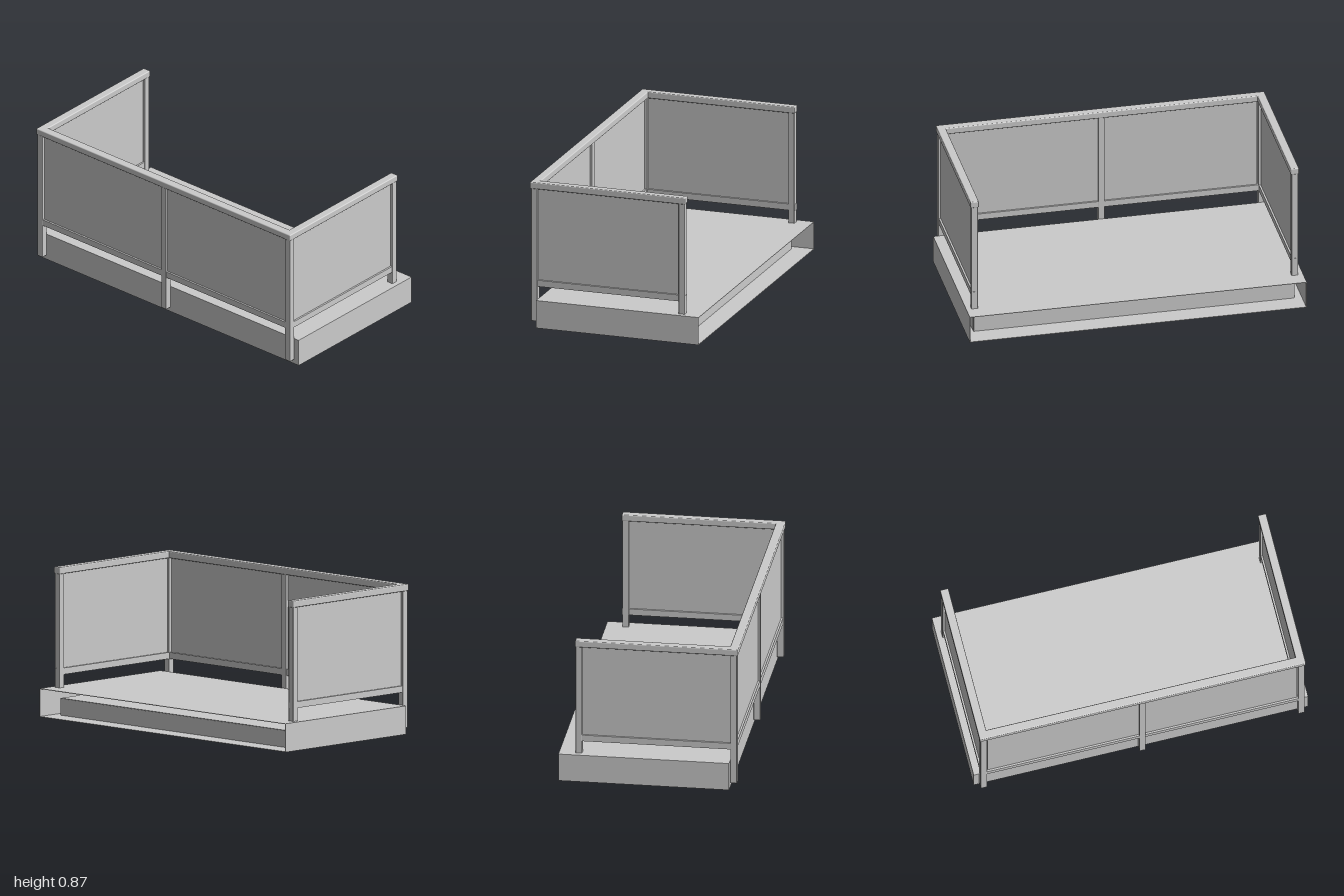
import * as THREE from 'three';
import { RoundedBoxGeometry } from 'three/addons/geometries/RoundedBoxGeometry.js';

export function createModel() {
  const model = new THREE.Group();
  const grey = new THREE.MeshStandardMaterial({ color: 0xcccccc });

  // Box given by its min and max on each axis, optionally with softened edges
  function box(name, [x0, x1], [y0, y1], [z0, z1], radius = 0, parent = model) {
    const size = [x1 - x0, y1 - y0, z1 - z0];
    const geometry = radius
      ? new RoundedBoxGeometry(...size, 2, radius)
      : new THREE.BoxGeometry(...size);
    const mesh = new THREE.Mesh(geometry, grey);
    mesh.name = name;
    mesh.position.set((x0 + x1) / 2, (y0 + y1) / 2, (z0 + z1) / 2);
    parent.add(mesh);
    return mesh;
  }

  // Platform: a sheet shell open at the back, with a recessed pocket underneath
  const platform = new THREE.Group();
  platform.name = 'platform';
  model.add(platform);
  const part = (name, x, y, z) => box(name, x, y, z, 0, platform);
  const t = 0.003; // sheet thickness
  const ceiling = 0.1;
  part('deck', [-1, 1], [0.167 - t, 0.167], [-0.525, 0.475]);
  part('frontSkirt', [-1, 1], [t, 0.167 - t], [0.475 - t, 0.475]);
  part('frontRim', [-1, 1], [0, t], [0.425, 0.475]);
  part('rearRim', [-1, 1], [0, t], [-0.525, -0.4]);
  part('pocketCeiling', [-0.95, 0.95], [ceiling, ceiling + t], [-0.4, 0.425]);
  part('pocketFrontWall', [-0.95, 0.95], [t, ceiling], [0.425, 0.425 + t]);
  part('pocketRearWall', [-0.95, 0.95], [t, ceiling], [-0.4 - t, -0.4]);
  for (const s of [-1, 1]) {
    const span = (a, b) => (s > 0 ? [a, b] : [-b, -a]);
    part('sideSkirt', span(1 - t, 1), [t, 0.167 - t], [-0.525, 0.475 - t]);
    part('sideRim', span(0.95, 1), [0, t], [-0.4, 0.425]);
    part('pocketSideWall', span(0.95, 0.95 + t), [t, ceiling], [-0.4, 0.425]);
    part('floorJoist', span(0.3, 0.363), [0.03, ceiling], [-0.4, 0.425]);
  }

  // Small wedge-shaped gusset inside the pocket
  const wedge = new THREE.Shape([
    new THREE.Vector2(-0.95, 0.005),
    new THREE.Vector2(-0.86, ceiling),
    new THREE.Vector2(-0.95, ceiling),
  ]);
  const gusset = new THREE.Mesh(
    new THREE.ExtrudeGeometry(wedge, { depth: 0.06, bevelEnabled: false }), grey);
  gusset.name = 'gusset';
  gusset.position.z = -0.05;
  platform.add(gusset);

  // Front posts hang down over the skirt; rear posts stand on the deck
  for (const x of [-0.95, 0, 0.95]) {
    box('frontPost', [x - 0.019, x + 0.019], [0.031, 0.84], [0.478, 0.517], 0.003);
  }
  for (const x of [-0.95, 0.95]) {
    box('rearPost', [x - 0.019, x + 0.019], [0.16, 0.84], [-0.429, -0.391], 0.003);
  }

  // U-shaped handrail
  box('frontHandrail', [-0.975, 0.975], [0.834, 0.874], [0.471, 0.523], 0.006);
  for (const x of [-0.95, 0.95]) {
    box('sideHandrail', [x - 0.025, x + 0.025], [0.834, 0.874], [-0.432, 0.521], 0.006);
  }

  // Infill panels and the bottom rails that carry them
  for (const s of [-1, 1]) {
    const span = (a, b) => (s > 0 ? [a, b] : [-b, -a]);
    box('frontPanel', span(0.01, 0.925), [0.27, 0.84], [0.493, 0.503]);
    box('frontBottomRail', span(0.01, 0.935), [0.242, 0.28], [0.482, 0.514]);
    box('sidePanel', span(0.945, 0.955), [0.27, 0.84], [-0.395, 0.483]);
    box('sideBottomRail', span(0.934, 0.966), [0.242, 0.28], [-0.431, 0.485]);
  }
  return model;
}
